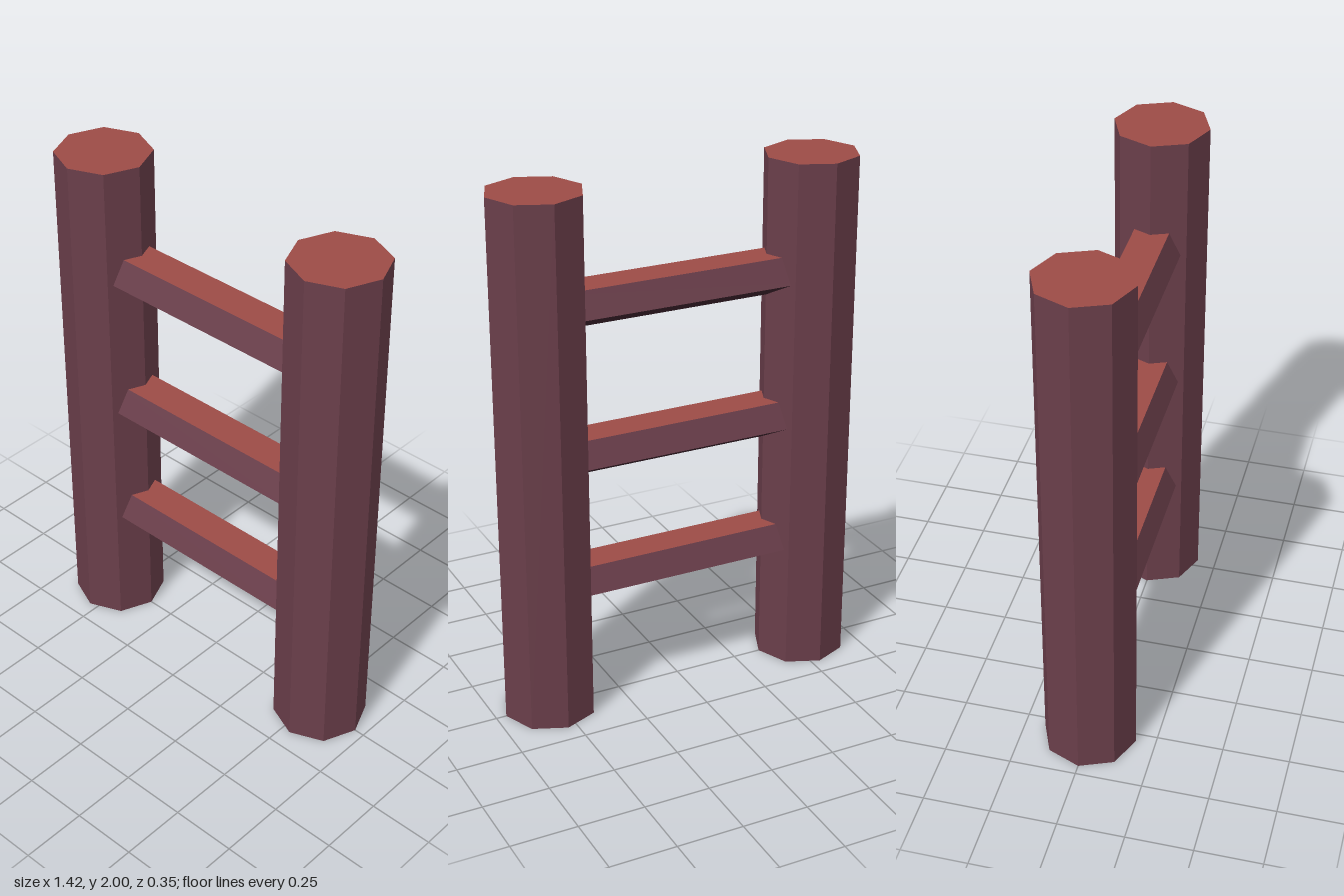
import * as THREE from 'three';

export function createModel() {
  const model = new THREE.Group();
  model.name = 'ladder';

  const bark = new THREE.MeshStandardMaterial({ name: 'plum wood', color: 0x6a3e4a, flatShading: true });
  const cut = new THREE.MeshStandardMaterial({ name: 'red wood', color: 0x9c4b46, flatShading: true });
  const under = new THREE.MeshStandardMaterial({ name: 'dark underside', color: 0x40242e, flatShading: true });

  // Octagonal posts with red tops and dark feet
  const postGeometry = new THREE.CylinderGeometry(0.176, 0.176, 2, 8);
  for (const side of [-1, 1]) {
    const post = new THREE.Mesh(postGeometry, [bark, cut, under]);
    post.name = side > 0 ? 'leftPost' : 'rightPost';
    post.position.set(side * 0.535, 1, 0);
    model.add(post);
  }

  // Five-sided rungs, flat on top and pointed below, ends sunk in the posts
  const rungGeometry = new THREE.CylinderGeometry(1, 1, 1, 5, 1, true, -Math.PI / 2);
  rungGeometry.rotateZ(Math.PI / 2);
  rungGeometry.scale(1, 0.0857, 0.11);
  // Sides in order: underside, flank, tread, flank, underside
  rungGeometry.clearGroups();
  [2, 0, 1, 0, 2].forEach((material, i) => rungGeometry.addGroup(i * 6, 6, material));
  [0.511, 1.013, 1.575].forEach((y, i) => {
    const rung = new THREE.Mesh(rungGeometry, [bark, cut, under]);
    rung.name = `rung${i + 1}`;
    rung.position.y = y;
    model.add(rung);
  });

  return model;
}
